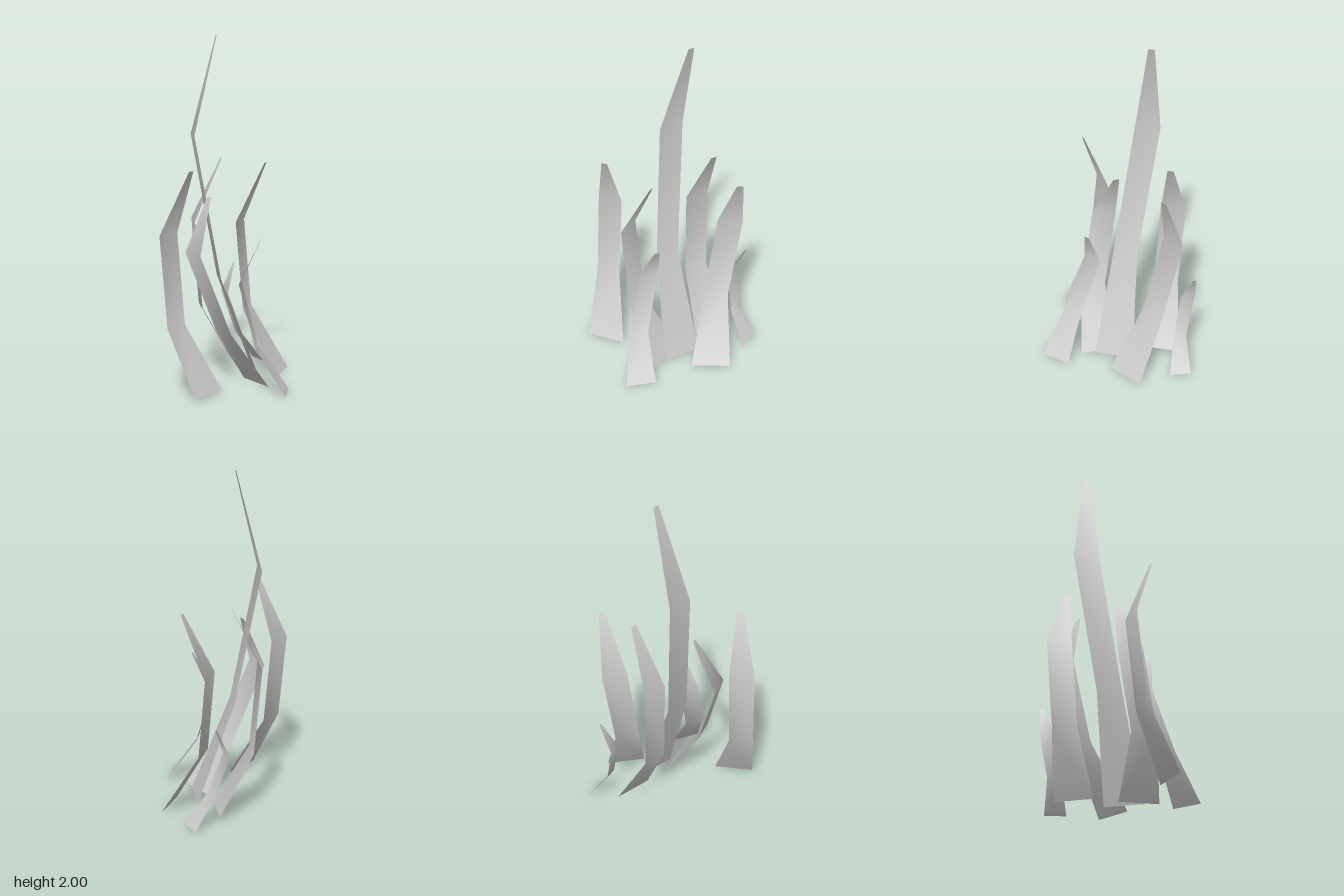
import * as THREE from 'three';

// Width of a full-size blade at root, lower bend, upper bend and tip
const WIDTHS = [0.232, 0.145, 0.147, 0.036];
// Share of the blade height at which each row sits
const LEVELS = [0, 0.306, 0.715, 1];

// Each blade: root and tip heights, width scale, yaw of its width, midrib [x, z] per row
const BLADES = [
  { name: 'tallBlade', root: 0.005, tip: 2.0, width: 1, yaw: -1.571,
    rib: [[0.185, 0.03], [-0.04, 0.008], [-0.176, -0.095], [-0.03, -0.138]] },
  { name: 'frontRightBlade', root: 0.02, tip: 1.265, width: 1, yaw: -0.70,
    rib: [[-0.16, 0.375], [-0.325, 0.263], [-0.36, 0.217], [-0.243, 0.303]] },
  { name: 'backLeftBlade', root: 0.005, tip: 1.24, width: 1, yaw: -1.04,
    rib: [[0.353, -0.075], [0.168, -0.21], [0.143, -0.312], [0.291, -0.276]] },
  { name: 'backBlade', root: 0.03, tip: 1.275, width: 1, yaw: -1.571,
    rib: [[0.095, -0.235], [-0.11, -0.23], [-0.15, -0.257], [0.02, -0.265]] },
  { name: 'middleBlade', root: 0.005, tip: 1.09, width: 1, yaw: 1.107,
    rib: [[0.158, 0.125], [-0.05, 0.208], [-0.217, 0.175], [-0.107, 0.075]] },
  { name: 'frontLeftBlade', root: 0.005, tip: 0.855, width: 0.77, yaw: -1.25,
    rib: [[0.288, 0.368], [0.128, 0.295], [0.053, 0.185], [0.17, 0.19]] },
  { name: 'smallBackBlade', root: 0.005, tip: 0.61, width: 0.55, yaw: 1.21,
    rib: [[0.272, -0.395], [0.145, -0.365], [0.063, -0.392], [0.13, -0.44]] },
];

// A bent ribbon of three quads swept along the midrib
function bladeGeometry({ root, tip, width, yaw, rib }) {
  const positions = [];
  const index = [];
  rib.forEach(([x, z], row) => {
    const y = row === 0 ? root : tip * LEVELS[row];
    for (const side of [-0.5, 0.5]) {
      const offset = side * width * WIDTHS[row];
      positions.push(x + offset * Math.cos(yaw), y, z + offset * Math.sin(yaw));
    }
    if (row > 0) {
      const a = (row - 1) * 2;
      index.push(a, a + 1, a + 3, a, a + 3, a + 2);
    }
  });
  const geometry = new THREE.BufferGeometry();
  geometry.setAttribute('position', new THREE.Float32BufferAttribute(positions, 3));
  geometry.setIndex(index);
  geometry.computeVertexNormals();
  return geometry;
}

export function createModel() {
  const group = new THREE.Group();
  group.name = 'grassTuft';
  const material = new THREE.MeshStandardMaterial({ color: 0xcccccc, side: THREE.DoubleSide });
  for (const blade of BLADES) {
    const mesh = new THREE.Mesh(bladeGeometry(blade), material);
    mesh.name = blade.name;
    group.add(mesh);
  }
  return group;
}
